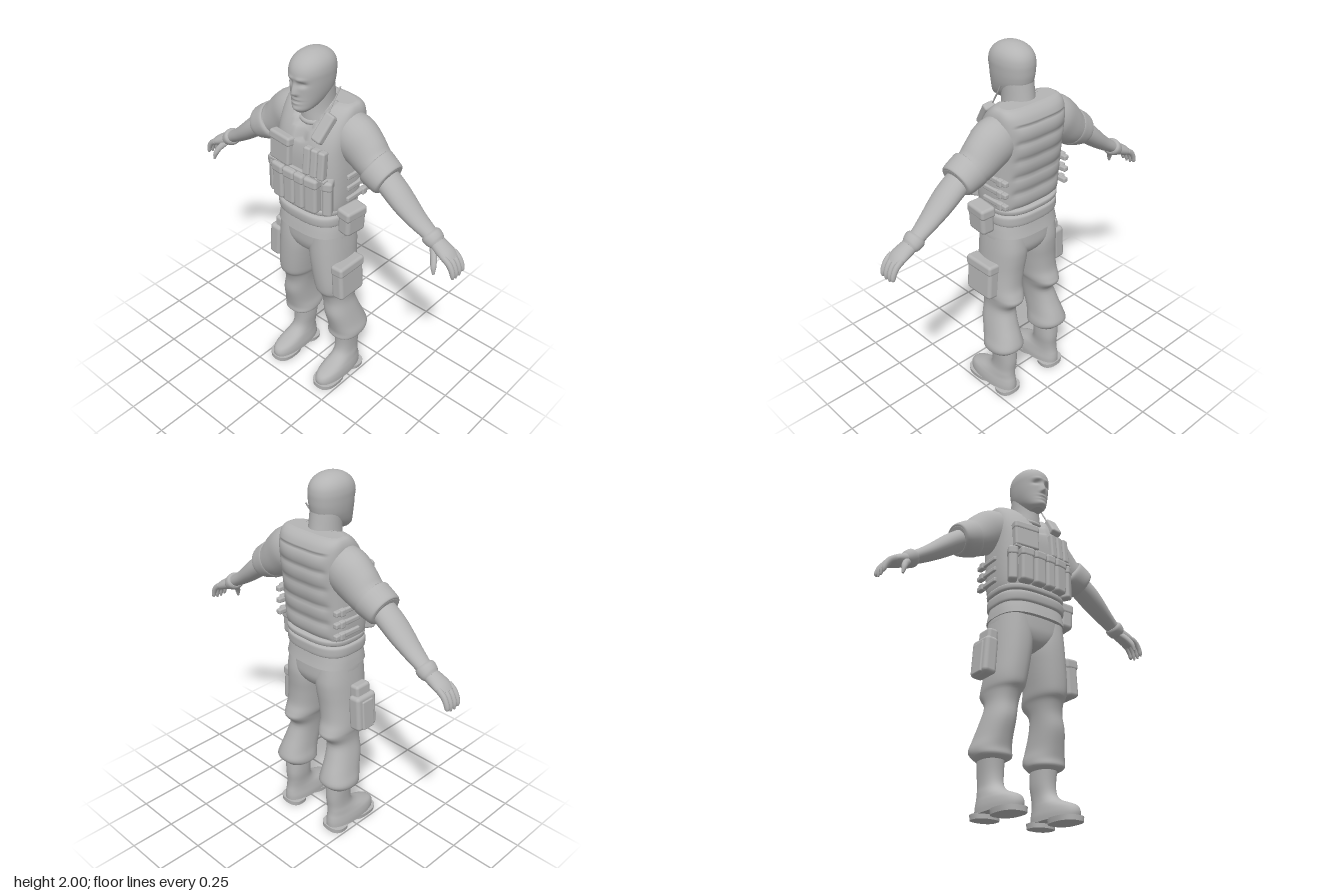
import * as THREE from 'three';
import { RoundedBoxGeometry } from 'three/addons/geometries/RoundedBoxGeometry.js';

const V = (x, y, z) => new THREE.Vector3(x, y, z);
const step = THREE.MathUtils.smoothstep;
const bell = (v, c, w) => Math.exp(-(((v - c) / w) ** 2));

// Catmull-Rom refinement of a table of cross-sections
function refine(rows, k) {
  const out = [], at = i => rows[Math.max(0, Math.min(rows.length - 1, i))];
  for (let i = 0; i < rows.length - 1; i++) {
    for (let j = 0; j < k; j++) {
      const t = j / k;
      out.push(rows[i].map((b, c) => {
        const a = at(i - 1)[c], d = at(i + 1)[c], e = at(i + 2)[c];
        return b + 0.5 * t * (d - a + t * (2 * a - 5 * b + 4 * d - e + t * (3 * (b - d) + e - a)));
      }));
    }
  }
  out.push(rows[rows.length - 1]);
  return out;
}

// Closed skin over rings of points, with flat end caps and outward winding
function skin(rings) {
  const n = rings[0].length, pos = [], idx = [];
  rings.forEach(r => r.forEach(p => pos.push(p.x, p.y, p.z)));
  for (let i = 0; i < rings.length - 1; i++) {
    for (let j = 0; j < n; j++) {
      const a = i * n + j, b = i * n + (j + 1) % n;
      idx.push(a, a + n, b, b, a + n, b + n);
    }
  }
  [rings[0], rings[rings.length - 1]].forEach((r, e) => {
    const base = pos.length / 3, c = V(0, 0, 0);
    r.forEach(p => { pos.push(p.x, p.y, p.z); c.addScaledVector(p, 1 / n); });
    pos.push(c.x, c.y, c.z);
    for (let j = 0; j < n; j++) {
      const a = base + j, b = base + (j + 1) % n;
      idx.push(...(e ? [base + n, b, a] : [base + n, a, b]));
    }
  });
  let vol = 0;
  const P = i => V().fromArray(pos, idx[i] * 3);
  for (let i = 0; i < idx.length; i += 3) vol += P(i).dot(P(i + 1).cross(P(i + 2)));
  if (vol < 0) idx.reverse();
  const g = new THREE.BufferGeometry();
  g.setAttribute('position', new THREE.Float32BufferAttribute(pos, 3));
  g.setIndex(idx);
  g.computeVertexNormals();
  return g;
}

// Upright form; rows are [y, x0, x1, zBack, zFront]
function loft(rows, { side = 1, n = 2.4, seg = 32, k = 4, warp } = {}) {
  return skin(refine(rows, k).map(([y, x0, x1, z0, z1]) => Array.from({ length: seg }, (_, j) => {
    const a = j / seg * Math.PI * 2, c = Math.cos(a), s = Math.sin(a);
    const f = v => Math.sign(v) * Math.abs(v) ** (2 / n);
    const p = V(side * ((x0 + x1) / 2 + f(c) * (x1 - x0) / 2), y, (z0 + z1) / 2 + f(s) * (z1 - z0) / 2);
    if (warp) warp(p);
    return p;
  })));
}

// Limb along a path; rows are [x, y, z, radius in xy, radius in z]
function limb(rows, side, seg = 20, k = 4) {
  const r = refine(rows, k);
  return skin(r.map(([x, y, z, ru, rv], i) => {
    const a = r[Math.max(0, i - 1)], b = r[Math.min(r.length - 1, i + 1)];
    const t = V(b[0] - a[0], b[1] - a[1], 0).normalize();
    return Array.from({ length: seg }, (_, j) => {
      const q = j / seg * Math.PI * 2, u = ru * Math.cos(q);
      return V(side * (x - t.y * u), y + t.x * u, z + rv * Math.sin(q));
    });
  }));
}

export function createModel() {
  const model = new THREE.Group();
  const grey = new THREE.MeshStandardMaterial({ color: 0xb4b4b4 });
  grey.name = 'grey';
  const add = (name, geo) => {
    const m = new THREE.Mesh(geo, grey);
    m.name = name;
    model.add(m);
    return m;
  };
  const pouch = (name, [w, h, d], [x, y, z], [rx, ry, rz] = [0, 0, 0]) => {
    const m = add(name, new RoundedBoxGeometry(w, h, d, 2, Math.min(w, h, d) * 0.28));
    m.position.set(x, y, z);
    m.rotation.set(rx, ry, rz);
  };

  // Head with sculpted brow, eye sockets, nose and mouth
  const head = [[1.712, .03, .07, .148], [1.73, .05, .03, .162], [1.76, .068, -.03, .163], [1.80, .082, -.07, .163],
    [1.84, .09, -.083, .165], [1.88, .094, -.087, .167], [1.91, .095, -.087, .168], [1.94, .09, -.08, .158],
    [1.965, .077, -.063, .138], [1.985, .055, -.035, .108], [1.997, .027, .002, .07], [2, .006, .03, .044]];
  add('head', loft(head.map(([y, r, b, f]) => [y, -r, r, b, f]), {
    n: 2.15, seg: 72, k: 6, warp: p => {
      if (p.z < 0.06) return;
      const ax = Math.abs(p.x), y = p.y;
      p.z += 0.024 * bell(p.x, 0, 0.008 + 0.1 * Math.max(0, 1.88 - y)) * (1 - step(y, 1.81, 1.885)) * step(y, 1.797, 1.813);
      p.z -= 0.013 * bell(ax, 0.037, 0.02) * bell(y, 1.862, 0.012);
      p.z += 0.007 * bell(ax, 0.03, 0.028) * bell(y, 1.888, 0.01);
      p.z += 0.005 * bell(ax, 0, 0.026) * (bell(y, 1.782, 0.006) + bell(y, 1.763, 0.006));
      p.z -= 0.006 * bell(ax, 0, 0.03) * bell(y, 1.773, 0.004);
      p.z += 0.005 * bell(ax, 0, 0.025) * bell(y, 1.735, 0.012);
    } }));
  add('neck', loft([[1.6, -.12, .12, -.13, .09], [1.66, -.09, .09, -.11, .09], [1.72, -.078, .078, -.095, .088],
    [1.82, -.078, .078, -.078, .09]], { n: 2 }));
  const collar = add('shirtCollar', new THREE.TorusGeometry(0.09, 0.014, 10, 36));
  collar.position.set(0, 1.668, -0.012);
  collar.rotation.x = Math.PI / 2 + 0.3;
  collar.scale.y = 1.12;

  // Vest with sunken neckline and padded back panels
  const vest = [[1.17, .192, -.14, .145], [1.22, .203, -.15, .15], [1.3, .208, -.155, .152], [1.4, .208, -.165, .155],
    [1.5, .205, -.178, .15], [1.58, .205, -.186, .13], [1.65, .203, -.185, .095], [1.70, .198, -.17, .055],
    [1.728, .185, -.145, .02], [1.738, .165, -.12, -.01]];
  add('vest', loft(vest.map(([y, r, b, f]) => [y, -r, r, b, f]), {
    n: 3.2, seg: 96, k: 7, warp: p => {
      const ax = Math.abs(p.x);
      if (p.z > -0.03) p.z -= 0.022 * (1 - step(ax - 0.55 * (p.y - 1.55), -0.006, 0.006)) * step(p.y, 1.54, 1.56);
      if (p.z < -0.08 && p.y < 1.67) {
        const wave = Math.abs(Math.sin((p.y - 1.2) / 0.094 * Math.PI)) ** 0.5;
        p.z += 0.016 * (1 - wave) * (1 - step(ax, 0.13, 0.18));
      }
    } }));

  // Waist: belt, side padding and jacket hem
  const waist = (name, rows, n = 2.8) => add(name, loft(rows.map(([y, r, b, f]) => [y, -r, r, b, f]), { n, seg: 48 }));
  waist('jacketHem', [[1.03, .203, -.16, .168], [1.07, .198, -.15, .16], [1.12, .19, -.142, .15], [1.2, .19, -.14, .145]]);
  waist('belt', [[1.098, .188, -.142, .15], [1.105, .2, -.155, .164], [1.135, .203, -.157, .168],
    [1.155, .2, -.155, .164], [1.162, .188, -.142, .15]]);
  waist('vestRim', [[1.165, .188, -.14, .14], [1.172, .2, -.155, .158], [1.195, .203, -.158, .16], [1.203, .19, -.14, .145]]);

  // Front pouches
  [[-.178, .05, .13, -.5], [-.112, .075, .158, -.12], [-.034, .072, .163, 0], [.034, .058, .164, 0],
    [.104, .075, .158, .12], [.178, .05, .13, .5]].forEach(([x, w, z, r]) => {
    pouch('magazinePouch', [w, .19, .06], [x, 1.295, z], [0, r, 0]);
    pouch('magazineFlap', [w + .006, .055, .068], [x, 1.372, z], [0, r, 0]);
  });
  pouch('chestPocket', [.145, .15, .045], [-.108, 1.48, .15], [-.06, -.12, 0]);
  pouch('chestPocketFlap', [.15, .05, .052], [-.108, 1.535, .147], [-.08, -.12, 0]);
  [.068, .112, .155].forEach(x => pouch('slimPouch', [.04, .15, .045], [x, 1.478, .155 - x * .06], [-.08, .15, 0]));
  pouch('vestSeam', [.37, .016, .03], [0, 1.4, .155]);

  // Radio on the shoulder strap
  pouch('radio', [.062, .15, .04], [.122, 1.648, .098], [-.62, 0, -.17]);
  add('antenna', new THREE.TubeGeometry(new THREE.LineCurve3(V(.112, 1.69, .07), V(.124, 1.825, -.015)), 1, .004, 6));

  // Belt pouch on the left hip
  pouch('hipPouch', [.08, .13, .13], [.238, 1.13, .015], [0, -.1, -.05]);
  pouch('hipPouchFlap', [.088, .06, .138], [.238, 1.185, .015], [0, -.1, -.05]);

  // Pelvis joins the two legs
  add('trouserSeat', loft([[.865, -.03, .03, -.06, .06], [.89, -.09, .09, -.11, .115], [.94, -.18, .18, -.138, .14],
    [1.0, -.2, .2, -.14, .145], [1.08, -.19, .19, -.135, .145]], { n: 2.6, seg: 40 }));

  for (const s of [1, -1]) {
    // Trouser leg, gathered at the knee and boot
    add('trouserLeg', loft([[1.05, .02, .195, -.125, .135], [.95, .005, .205, -.142, .143], [.88, .005, .21, -.14, .145],
      [.8, .018, .215, -.132, .143], [.71, .033, .222, -.132, .137], [.655, .042, .222, -.15, .128], [.62, .055, .216, -.155, .105],
      [.56, .07, .213, -.108, .088], [.48, .078, .23, -.128, .088], [.39, .078, .25, -.165, .065], [.335, .07, .265, -.178, .052],
      [.3, .074, .257, -.15, .052], [.283, .1, .23, -.135, .03]], { side: s, n: 2.3, seg: 36 }));

    // Boot
    add('boot', loft([[.022, .1, .238, -.147, .19], [.05, .1, .238, -.147, .192], [.078, .104, .234, -.143, .175],
      [.1, .108, .228, -.138, .125], [.125, .112, .222, -.135, .06], [.16, .112, .216, -.135, .022], [.22, .106, .218, -.14, .012],
      [.31, .104, .228, -.135, .02]], { side: s, n: 2.3, seg: 36 }));
    const sole = (z0, z1) => loft([[0, .1, .24, z0, z1], [.026, .096, .244, z0, z1]], { side: s, n: 2.5, k: 1 });
    add('bootSole', sole(.005, .197));
    add('bootHeel', sole(-.152, -.035));

    // Arm: shirt sleeve, rolled cuff, forearm
    add('sleeve', limb([[.14, 1.595, -.045, .11, .1], [.2, 1.572, -.045, .122, .108], [.26, 1.53, -.045, .115, .1],
      [.32, 1.485, -.042, .098, .094], [.4, 1.445, -.035, .08, .085]], s, 28));
    add('sleeveCuff', limb([[.33, 1.478, -.035, .085, .085], [.337, 1.474, -.033, .1, .1], [.375, 1.455, -.03, .096, .1],
      [.418, 1.434, -.028, .086, .095], [.427, 1.43, -.028, .07, .078]], s, 28));
    add('forearm', limb([[.39, 1.445, -.03, .06, .07], [.47, 1.388, -.028, .056, .072], [.53, 1.34, -.028, .05, .068],
      [.6, 1.287, -.03, .041, .056], [.67, 1.242, -.035, .034, .044], [.72, 1.21, -.037, .03, .04]], s, 24));

    // Gloved hand
    add('gloveCuff', limb([[.672, 1.242, -.035, .038, .048], [.685, 1.233, -.035, .047, .055], [.71, 1.216, -.036, .042, .051],
      [.725, 1.208, -.036, .032, .042]], s, 24));
    add('palm', limb([[.7, 1.22, -.036, .03, .04], [.74, 1.2, -.034, .033, .047], [.785, 1.178, -.032, .028, .052],
      [.815, 1.158, -.032, .018, .047]], s, 20));
    [-.071, -.045, -.018, .008].forEach((z, i) => {
      const e = [.012, 0, 0, .006][i];
      add('finger', limb([[.79, 1.178, z, .017, .014], [.822, 1.156, z, .016, .014], [.842, 1.125, z, .014, .013],
        [.849, 1.1, z, .012, .011], [.851, 1.078 + e, z, .005, .005]], s, 10, 3));
    });
    add('thumb', limb([[.715, 1.195, -.01, .018, .018], [.742, 1.16, .018, .017, .017], [.758, 1.125, .036, .014, .015],
      [.766, 1.088, .043, .006, .006]], s, 12));

    // Side straps with buckles
    [1.245, 1.31, 1.375].forEach(y => {
      pouch('sideStrap', [.03, .028, .17], [s * .205, y, -.06]);
      pouch('strapBuckle', [.03, .04, .035], [s * .212, y, -.1]);
    });
  }

  // Left cargo pocket and right thigh holster
  pouch('cargoPocket', [.075, .2, .185], [.228, .76, .025], [0, 0, .06]);
  pouch('cargoPocketFlap', [.08, .06, .19], [.226, .84, .025], [0, 0, .06]);
  pouch('holster', [.075, .2, .14], [-.262, .785, .01], [0, 0, -.07]);
  pouch('holsterTop', [.06, .12, .1], [-.242, .88, .01], [0, 0, -.07]);
  pouch('holsterFlap', [.03, .17, .08], [-.292, .775, .01], [0, 0, -.07]);
  return model;
}
